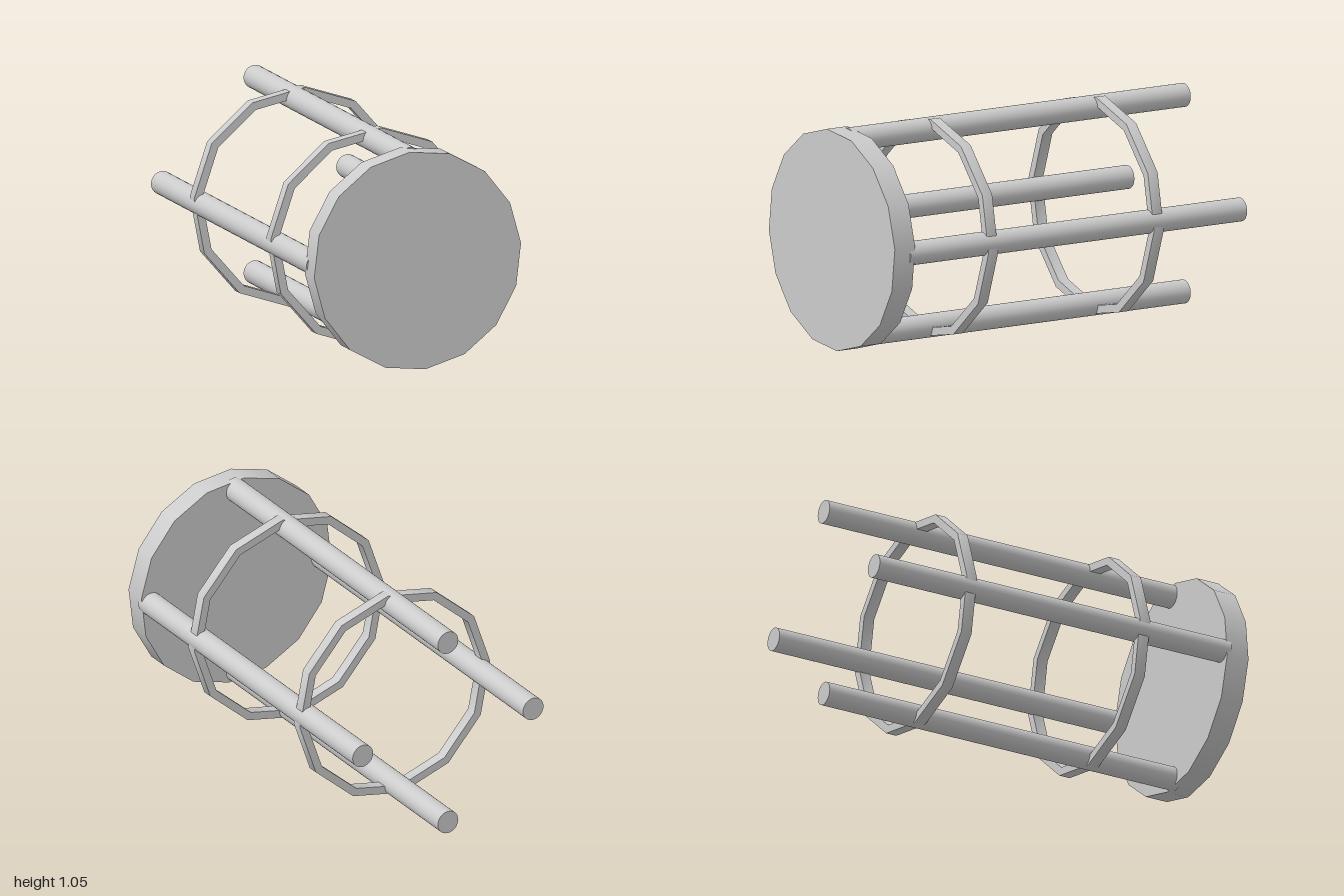
import * as THREE from 'three';
import { toCreasedNormals } from 'three/addons/utils/BufferGeometryUtils.js';

const CENTER_Y = 0.53;
const RADIUS = 0.527;
const ROD_RADIUS = 0.0565;
const DEG = Math.PI / 180;

// Points of a regular polygon, first corner at the given angle
function polygon(radius, sides, start) {
  return Array.from({ length: sides }, (_, i) => {
    const a = start + (i / sides) * Math.PI * 2;
    return new THREE.Vector2(Math.cos(a) * radius, Math.sin(a) * radius);
  });
}

export function createModel() {
  const group = new THREE.Group();
  group.name = 'rodCage';
  const material = new THREE.MeshStandardMaterial({ color: 0xcccccc });

  const add = (name, geometry, x, y, z) => {
    const mesh = new THREE.Mesh(geometry, material);
    mesh.name = name;
    mesh.position.set(x, CENTER_Y + y, z);
    group.add(mesh);
  };

  // Sixteen-sided end plate at the front
  const plate = new THREE.CylinderGeometry(RADIUS, RADIUS, 0.115, 16);
  plate.rotateX(Math.PI / 2).rotateZ(4.4 * DEG);
  add('endPlate', plate, 0, 0, 0.9425);

  // Four long rods, spaced evenly just inside the rim
  const rod = new THREE.CylinderGeometry(ROD_RADIUS, ROD_RADIUS, 1.91, 32);
  rod.rotateX(Math.PI / 2);
  const reach = RADIUS - ROD_RADIUS;
  ['leftRod', 'topRod', 'rightRod', 'bottomRod'].forEach((name, i) => {
    const a = (i * Math.PI) / 2;
    add(name, rod, Math.cos(a) * reach, Math.sin(a) * reach, -0.045);
  });

  // Two twelve-sided hoops tying the rods together
  const outline = new THREE.Shape(polygon(RADIUS, 12, -4 * DEG));
  outline.holes.push(new THREE.Path(polygon(RADIUS - 0.04, 12, -4 * DEG)));
  const flatHoop = new THREE.ExtrudeGeometry(outline, { depth: 0.055, bevelEnabled: false });
  flatHoop.translate(0, 0, -0.0275);
  const hoop = toCreasedNormals(flatHoop, 40 * DEG);
  add('frontHoop', hoop, 0, 0, 0.44);
  add('rearHoop', hoop, 0, 0, -0.5);

  return group;
}
